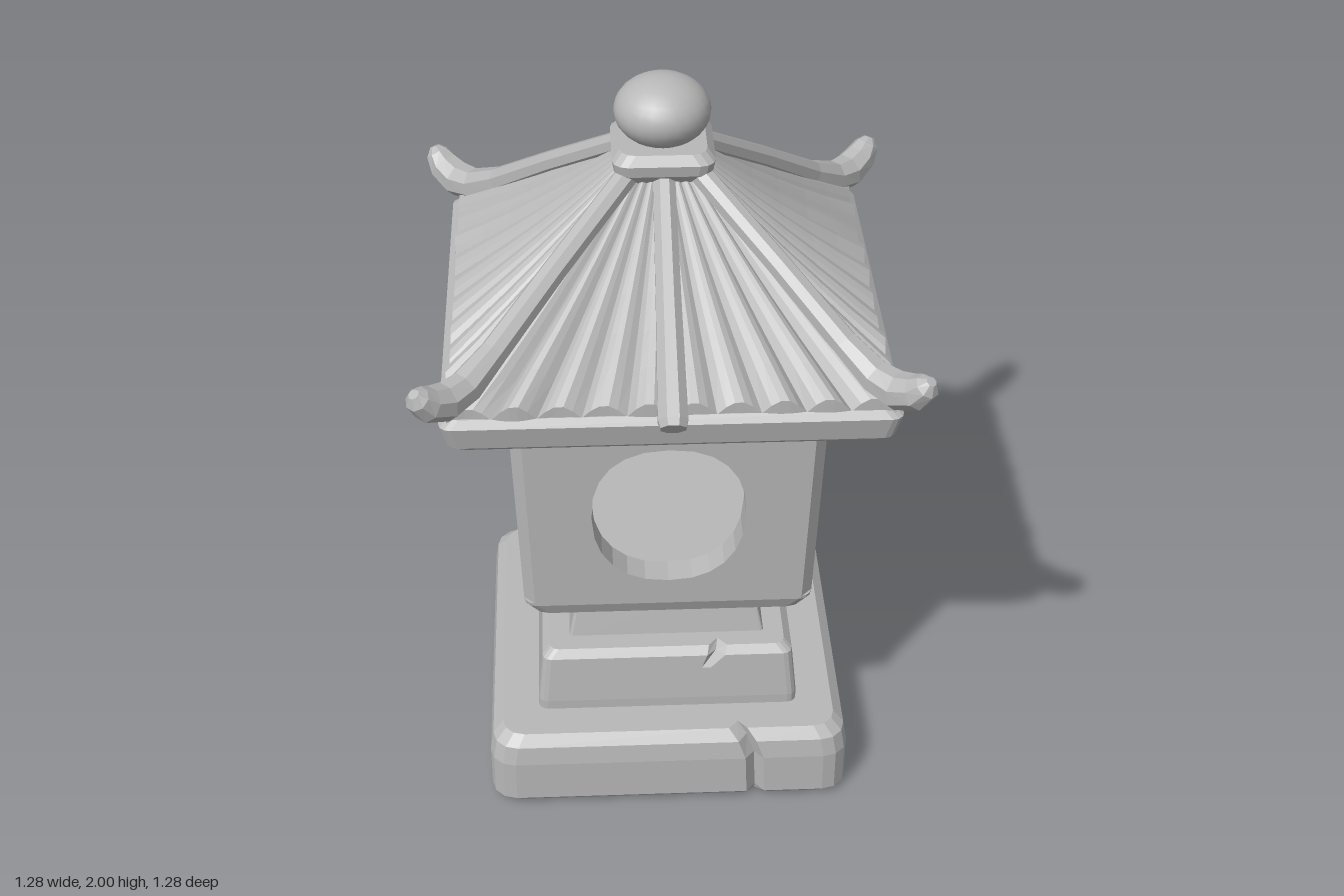
import * as THREE from 'three';

const stone = new THREE.MeshStandardMaterial({ color: 0xb8b8b8 });
stone.name = 'stone grey';

let seed = 7;
const rand = () => (seed = (seed * 16807) % 2147483647) / 2147483647;
const lerp = THREE.MathUtils.lerp;

// Skin through rows of points; closed rows get end caps. Faceted normals.
function loft(rows, closed = true) {
  const pos = [];
  const tri = (...pts) => pts.forEach((p) => pos.push(p[0], p[1], p[2]));
  const n = rows[0].length;
  for (let i = 0; i < rows.length - 1; i++) {
    for (let j = 0; j < (closed ? n : n - 1); j++) {
      const k = (j + 1) % n;
      const a = rows[i], b = rows[i + 1];
      tri(a[j], b[j], a[k]);
      tri(a[k], b[j], b[k]);
    }
  }
  if (closed) {
    const centre = (row) => [0, 1, 2].map((c) => row.reduce((s, p) => s + p[c], 0) / n);
    const first = rows[0], last = rows[rows.length - 1];
    for (let j = 0; j < n; j++) {
      const k = (j + 1) % n;
      tri(centre(first), first[j], first[k]);
      tri(centre(last), last[k], last[j]);
    }
  }
  const geo = new THREE.BufferGeometry();
  geo.setAttribute('position', new THREE.Float32BufferAttribute(pos, 3));
  geo.computeVertexNormals();
  return geo;
}

// Rounded square outline; a crack notch can be cut into front and back
function squareRing(h, y, r, notchX, depth = 0) {
  const pts = [];
  for (let q = 0; q < 4; q++) {
    const cx = (q === 0 || q === 3 ? 1 : -1) * (h - r);
    const cz = (q < 2 ? 1 : -1) * (h - r);
    for (let i = 0; i <= 3; i++) {
      const a = (q + i / 3) * Math.PI / 2;
      pts.push([cx + r * Math.cos(a), y, cz + r * Math.sin(a)]);
    }
    if (notchX !== undefined && q % 2 === 0) {
      const s = q === 0 ? 1 : -1;
      [[0.025, 0], [0, depth], [-0.025, 0]].forEach(([dx, d]) =>
        pts.push([notchX + s * dx, y, s * (h - d)]));
    }
  }
  return pts;
}

// Rounded bar along a path of [distance, height, radius], running out along +x
function sweep(path, sides = 8) {
  return loft(path.map(([d, y, r], i) => {
    const p = path[Math.max(i - 1, 0)], q = path[Math.min(i + 1, path.length - 1)];
    const len = Math.hypot(q[0] - p[0], q[1] - p[1]);
    const tx = (q[0] - p[0]) / len, ty = (q[1] - p[1]) / len;
    return Array.from({ length: sides }, (_, j) => {
      const a = ((j + 0.5) / sides) * Math.PI * 2;
      const n = r * Math.sin(a);
      return [d - ty * n, y + tx * n, r * Math.cos(a)];
    });
  }));
}

// One roof side: rows of rounded tiles fanning out from the cap to the eave
function roofPanel() {
  const tiles = 10, seg = 5, steps = 6;
  const lift = Array.from({ length: tiles }, () => 0.012 * (rand() - 0.5));
  const rows = [];
  for (let i = 0; i <= steps + 1; i++) {
    const t = Math.min(i / steps, 1);
    const row = [];
    for (let j = 0; j <= tiles * seg; j++) {
      const tile = Math.min(Math.floor(j / seg), tiles - 1);
      const bump = Math.sin(((j - tile * seg) / seg) * Math.PI);
      const half = lerp(0.09, 0.55, t);
      const u = (j / (tiles * seg)) * 2 - 1;
      let y = 1.775 - 0.415 * t - 0.015 * Math.sin(Math.PI * t);
      y += bump * (lerp(0.008, 0.036, t) + lift[tile] * t);
      if (i > steps) y = 1.335;
      row.push([u * half, y, half + (t === 1 ? bump * lift[tile] : 0)]);
    }
    rows.push(row);
  }
  return loft(rows, false);
}

// Chamber walls lean outward as they rise
function lean(geo) {
  const p = geo.attributes.position;
  for (let i = 0; i < p.count; i++) {
    const s = lerp(0.387, 0.41, (p.getY(i) - 0.63) / 0.64) / 0.4;
    p.setX(i, p.getX(i) * s);
    p.setZ(i, p.getZ(i) * s);
  }
  geo.computeVertexNormals();
  return geo;
}

const W = 0.4, T = 0.08, Y0 = 0.63, Y1 = 1.28;

function wall(open) {
  const m = W - T;
  const shape = new THREE.Shape([[-m, Y0], [m, Y0], [m, Y1], [-m, Y1]].map((p) => new THREE.Vector2(...p)));
  if (open) {
    const bend = (v) => Math.sign(v) * Math.pow(Math.abs(v), 0.86);
    shape.holes.push(new THREE.Path(Array.from({ length: 24 }, (_, i) => {
      const a = (i / 24) * Math.PI * 2;
      return new THREE.Vector2(0.203 * bend(Math.cos(a)), 0.93 + 0.22 * bend(Math.sin(a)));
    })));
  }
  return new THREE.ExtrudeGeometry(shape, { depth: T, bevelEnabled: false }).translate(0, 0, m);
}

function cornerPost() {
  const c = 0.03, m = W - T;
  const shape = new THREE.Shape([[m, m], [W, m], [W, W - c], [W - c, W], [m, W]].map((p) => new THREE.Vector2(...p)));
  return new THREE.ExtrudeGeometry(shape, { depth: Y1 - Y0, bevelEnabled: false })
    .rotateX(-Math.PI / 2).translate(0, Y0, 0);
}

export function createModel() {
  const model = new THREE.Group();
  model.name = 'stoneLantern';
  const add = (name, geo) => {
    const mesh = new THREE.Mesh(geo, stone);
    mesh.name = name;
    model.add(mesh);
    return mesh;
  };
  const block = (name, rings) => add(name, loft(rings.map((r) => squareRing(...r))));

  // Stepped foot, with worn edges and cracks
  block('base', [[0.475, 0, 0.07, 0.24, 0.02], [0.497, 0.025, 0.07, 0.24, 0.03],
    [0.497, 0.15, 0.07, 0.235, 0.03], [0.488, 0.205, 0.07, 0.215, 0.035], [0.46, 0.232, 0.06, 0.19, 0.03]]);
  block('middleStep', [[0.36, 0.225, 0.025, 0.13, 0], [0.36, 0.26, 0.025, 0.13, 0],
    [0.35, 0.36, 0.025, 0.12, 0], [0.346, 0.4, 0.025, 0.135, 0.025], [0.325, 0.42, 0.025, 0.14, 0.03]]);
  block('neck', [[0.272, 0.41, 0.008], [0.235, 0.59, 0.008]]);

  // Lamp chamber: open at the front and sides, solid at the back
  block('chamberFloor', [[0.345, 0.577, 0.05], [0.37, 0.59, 0.05], [0.387, 0.63, 0.035], [0.387, 0.64, 0.03]]);
  ['frontWall', 'leftWall', 'backWall', 'rightWall'].forEach((name, k) => {
    add(name, lean(wall(k !== 2).rotateY(k * Math.PI / 2)));
    add('cornerPost', lean(cornerPost().rotateY(k * Math.PI / 2)));
  });

  // Roof
  block('eaveSlab', [[0.535, 1.262, 0.03], [0.555, 1.28, 0.03], [0.57, 1.345, 0.03], [0.55, 1.362, 0.03]]);
  const hip = [[0.08, 1.785, 0.03], [0.28, 1.615, 0.032], [0.43, 1.48, 0.036], [0.5, 1.427, 0.045],
    [0.55, 1.418, 0.05], [0.59, 1.44, 0.045], [0.61, 1.47, 0.033], [0.617, 1.488, 0.014]]
    .map(([d, y, r]) => [d * Math.SQRT2, y, r]);
  const ridge = [[0.08, 1.775, 0.03], [0.35, 1.565, 0.034], [0.595, 1.377, 0.04], [0.612, 1.364, 0.034]];
  for (let k = 0; k < 4; k++) {
    add('roofTiles', roofPanel().rotateY(k * Math.PI / 2));
    add('hipRidge', sweep(hip).rotateY((k + 0.5) * Math.PI / 2));
    if (k % 2) add('middleRidge', sweep(ridge).rotateY(k * Math.PI / 2));
  }

  // Cap and finial
  block('roofCap', [[0.1, 1.75, 0.03], [0.125, 1.785, 0.04], [0.13, 1.815, 0.04], [0.11, 1.838, 0.04]]);
  add('finial', new THREE.SphereGeometry(0.123, 24, 16).scale(1, 0.73, 1).translate(0, 1.91, 0));

  return model;
}
